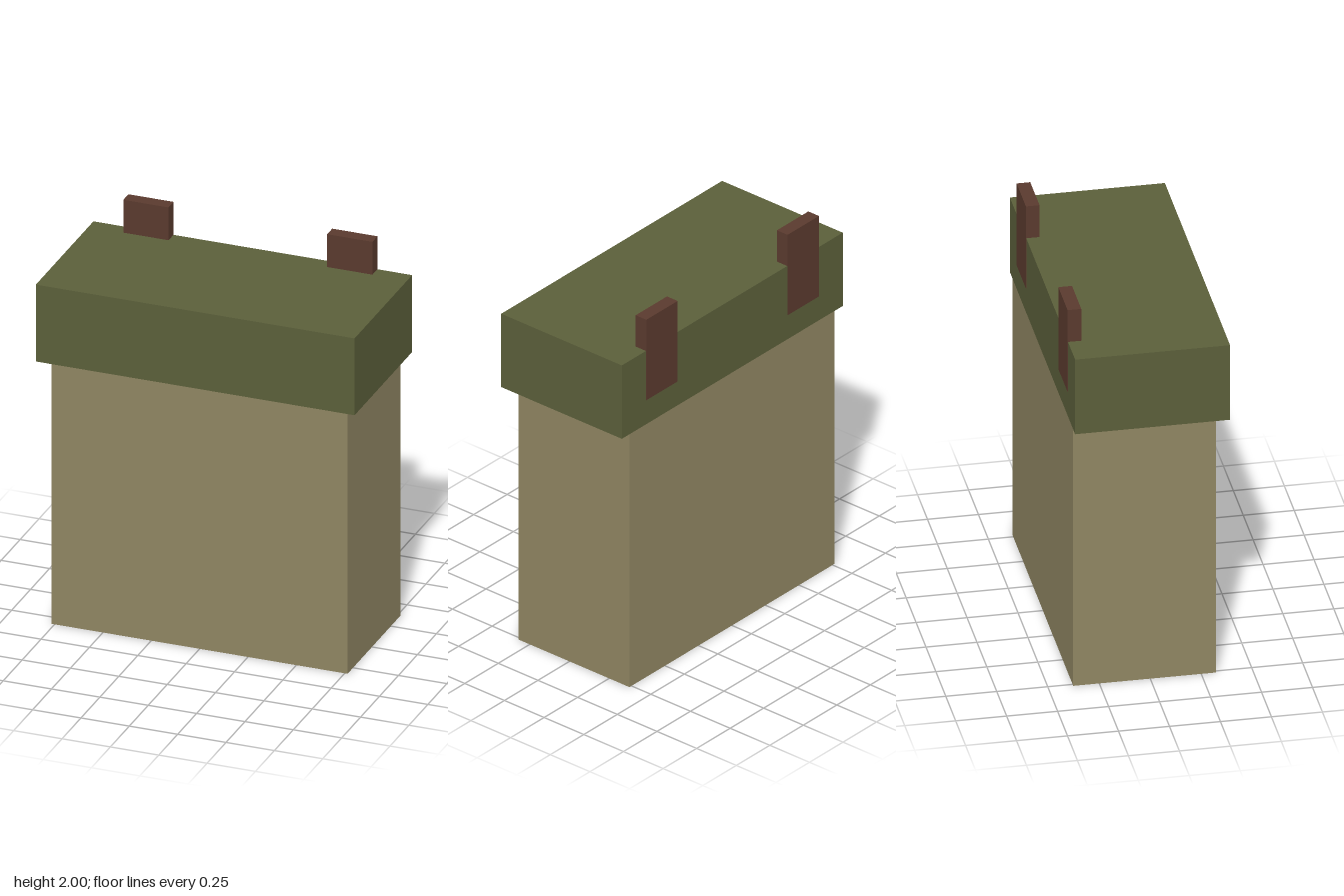
import * as THREE from 'three';

const material = (name, color) => {
  const m = new THREE.MeshStandardMaterial({ color });
  m.name = name;
  return m;
};

// Box given by its lower and upper corners
function box(name, mat, [x0, y0, z0], [x1, y1, z1]) {
  const mesh = new THREE.Mesh(new THREE.BoxGeometry(x1 - x0, y1 - y0, z1 - z0), mat);
  mesh.position.set((x0 + x1) / 2, (y0 + y1) / 2, (z0 + z1) / 2);
  mesh.name = name;
  return mesh;
}

export function createModel() {
  const canvas = material('tan canvas', 0x8f8562);
  const flap = material('olive flap', 0x5b5f3a);
  const leather = material('brown leather', 0x5a3a2e);

  const bag = new THREE.Group();
  bag.name = 'bag';

  // Main compartment, its top tucked inside the flap
  bag.add(box('body', canvas, [-0.765, 0, -0.378], [0.765, 1.765, 0.322]));

  // Overhanging flap, flush with the back
  bag.add(box('topFlap', flap, [-0.824, 1.415, -0.38], [0.824, 1.825, 0.38]));

  // Shoulder strap ends, set into the back and rising above the flap
  for (const side of [-1, 1]) {
    const strap = box(side > 0 ? 'leftStrap' : 'rightStrap', leather,
      [-0.117, 1.55, -0.382], [0.117, 2, -0.315]);
    strap.position.x = side * 0.527;
    bag.add(strap);
  }
  return bag;
}
